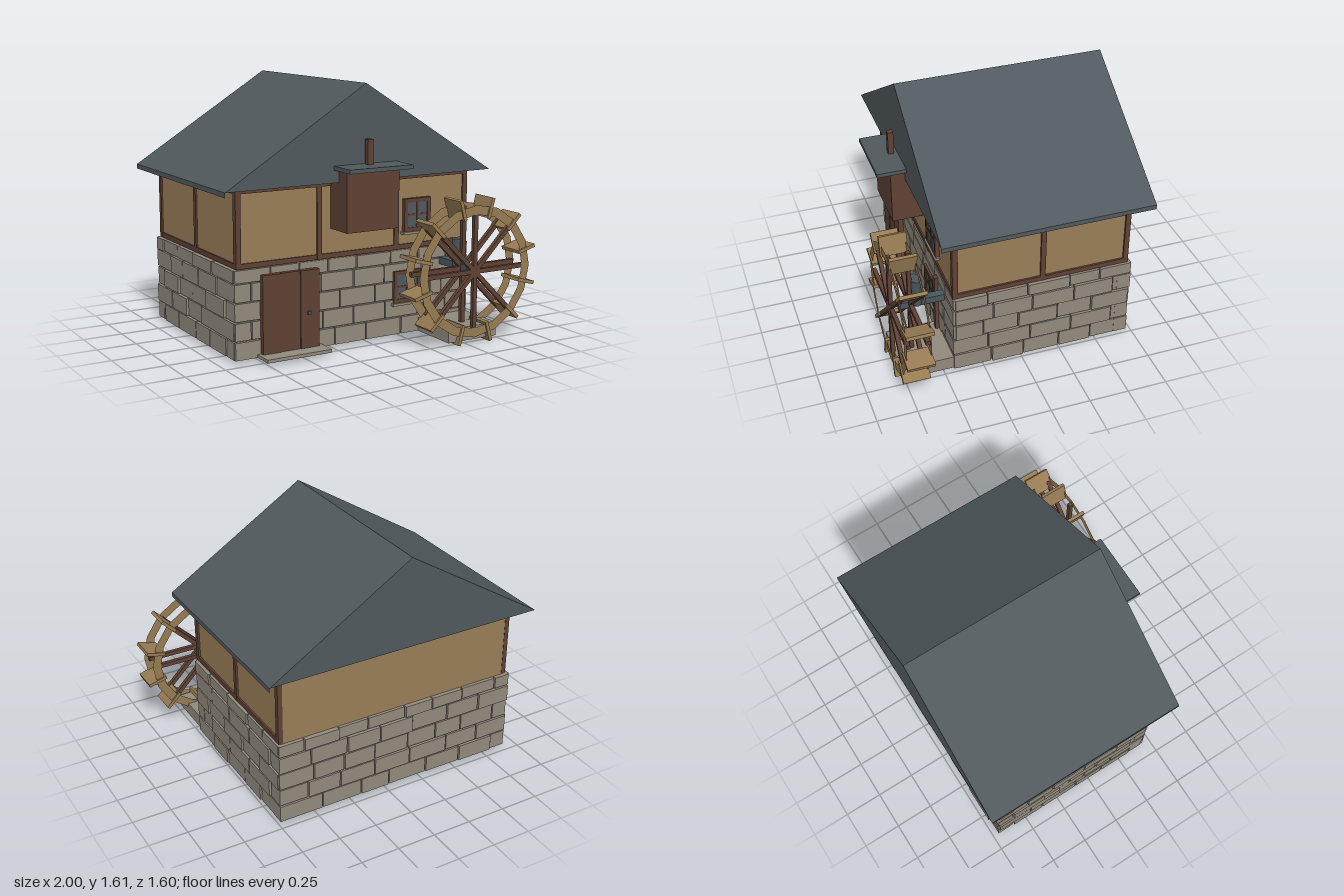
import * as THREE from 'three';

const mat = (name, color) => {
  const m = new THREE.MeshStandardMaterial({ color });
  m.name = name;
  return m;
};

export function createModel() {
  const slate = mat('slate', 0x50595d);
  const plaster = mat('plaster', 0x997e57);
  const timber = mat('darkTimber', 0x5f4134);
  const stone = mat('stone', 0x918a7d);
  const paleWood = mat('paleWood', 0x977b53);
  paleWood.side = THREE.DoubleSide;
  const iron = mat('iron', 0x4a585f);

  const model = new THREE.Group();
  model.name = 'watermill';
  const group = (name) => {
    const g = new THREE.Group();
    g.name = name;
    model.add(g);
    return g;
  };
  const add = (parent, name, geometry, material) => {
    const mesh = new THREE.Mesh(geometry, material);
    mesh.name = name;
    parent.add(mesh);
    return mesh;
  };
  // Box given by its limits on each axis
  const box = (parent, name, material, x0, x1, y0, y1, z0, z1) => {
    const mesh = add(parent, name, new THREE.BoxGeometry(x1 - x0, y1 - y0, z1 - z0), material);
    mesh.position.set((x0 + x1) / 2, (y0 + y1) / 2, (z0 + z1) / 2);
    return mesh;
  };

  let seed = 7;
  const rand = () => (seed = (seed * 16807) % 2147483647) / 2147483647;

  // Stone ground floor: hollow, in five courses of uneven blocks
  const base = group('stoneWalls');
  const X0 = -0.91, X1 = 0.745, Z0 = -0.715, Z1 = 0.44, T = 0.09, gap = 0.004;
  const courses = [0.02, 0.13, 0.245, 0.36, 0.475, 0.555];
  const course = (from, to, offset, place) => {
    let a = from;
    let width = offset ? 0.11 : 0.2 + rand() * 0.05;
    while (a < to - 0.001) {
      let b = a + width;
      if (to - b < 0.09) b = to;
      place(a + gap, b - gap, (rand() - 0.5) * 0.014);
      a = b;
      width = 0.19 + rand() * 0.09;
    }
  };
  for (let i = 0; i < 5; i++) {
    const y0 = courses[i] + (i ? gap : 0), y1 = courses[i + 1] - (i < 4 ? gap : 0);
    const odd = i % 2 === 1;
    course(X0, X1, odd, (a, b, j) => box(base, 'frontBlock', stone, a, b, y0, y1, Z1 - T, Z1 + j * 0.5));
    course(X0, X1, !odd, (a, b, j) => box(base, 'backBlock', stone, a, b, y0, y1, Z0 + j, Z0 + T));
    course(Z0 + 0.01, Z1 - 0.01, !odd, (a, b, j) => box(base, 'rightBlock', stone, X0 + j, X0 + T, y0, y1, a, b));
    course(Z0 + 0.01, Z1 - 0.01, odd, (a, b, j) => box(base, 'leftBlock', stone, X1 - T, X1 + j, y0, y1, a, b));
  }
  // Mortar core behind the joints, and the ceiling
  const m0 = 0.02, m1 = 0.05;
  box(base, 'frontMortar', stone, X0 + m0, X1 - m0, 0.03, 0.55, Z1 - m1, Z1 - m0);
  box(base, 'backMortar', stone, X0 + m0, X1 - m0, 0.03, 0.55, Z0 + m0, Z0 + m1);
  box(base, 'rightMortar', stone, X0 + m0, X0 + m1, 0.03, 0.55, Z0 + m0, Z1 - m0);
  box(base, 'leftMortar', stone, X1 - m1, X1 - m0, 0.03, 0.55, Z0 + m0, Z1 - m0);
  box(base, 'ceiling', stone, X0 + m0, X1 - m0, 0.53, 0.553, Z0 + m0, Z1 - m0);

  // Plastered upper floor with timber framing on the front and sides
  const upper = group('upperFloor');
  box(upper, 'plasterWall', plaster, -0.885, 0.72, 0.553, 1.03, -0.69, 0.43);
  for (const x of [-0.895, -0.36, 0.185, 0.7])
    box(upper, 'frontPost', timber, x, x + 0.033, 0.56, 1.03, 0.405, 0.44);
  for (const y of [0.56, 0.998])
    box(upper, 'frontBeam', timber, -0.895, 0.733, y, y + 0.031, 0.41, 0.438);
  for (const [x0, x1] of [[-0.895, -0.865], [0.703, 0.733]]) {
    for (const z of [-0.692, -0.148, 0.407])
      box(upper, 'sidePost', timber, x0, x1, 0.56, 1.03, z, z + 0.032);
    for (const y of [0.56, 0.998])
      box(upper, 'sideBeam', timber, x0 + 0.001, x1 - 0.001, y, y + 0.031, -0.69, 0.438);
  }

  // Gable roof: swept profile, with gable triangles above the eaves
  const profile = [[-1, 1], [-1, 1.03], [-0.08, 1.605], [0.835, 1.03], [0.835, 1]];
  const zf = 0.532, zb = -0.8;
  const pts = [];
  const tri = (...corners) => corners.forEach(([p, z]) => pts.push(p[0], p[1], z));
  profile.forEach((a, i) => {
    const b = profile[(i + 1) % 5];
    tri([a, zf], [b, zf], [b, zb]);
    tri([a, zf], [b, zb], [a, zb]);
  });
  const [, eaveR, ridge, eaveL] = profile;
  tri([eaveR, zf], [eaveL, zf], [ridge, zf]);
  tri([eaveR, zb], [ridge, zb], [eaveL, zb]);
  const roofGeometry = new THREE.BufferGeometry();
  roofGeometry.setAttribute('position', new THREE.Float32BufferAttribute(pts, 3));
  roofGeometry.computeVertexNormals();
  add(model, 'roof', roofGeometry, slate);

  // Projecting hoist box with its flat cover and stack
  const hoist = group('hoist');
  box(hoist, 'hoistBox', timber, -0.265, 0.097, 0.74, 1.105, 0.42, 0.623);
  box(hoist, 'hoistCover', slate, -0.3, 0.135, 1.105, 1.13, 0.42, 0.715);
  box(hoist, 'hoistStack', timber, -0.101, -0.063, 1.13, 1.28, 0.553, 0.589);

  // Plank door, handle and step
  const door = group('door');
  for (let i = 0; i < 3; i++) {
    const x = -0.742 + i * 0.126;
    box(door, 'doorPlank', timber, x, x + 0.124, 0.04, 0.515, 0.42, i === 1 ? 0.468 : 0.473);
  }
  box(door, 'doorHandle', iron, -0.447, -0.425, 0.245, 0.265, 0.465, 0.485);
  box(door, 'doorStep', stone, -0.765, -0.335, 0.02, 0.04, 0.42, 0.572);

  // Windows
  const makeWindow = (name, x0, x1, y0, y1) => {
    const w = group(name), f = 0.025, cx = (x0 + x1) / 2, cy = (y0 + y1) / 2;
    box(w, 'glass', slate, x0 + f, x1 - f, y0 + f, y1 - f, 0.42, 0.449);
    for (const x of [x0, x1 - f]) box(w, 'windowJamb', timber, x, x + f, y0, y1, 0.42, 0.456);
    for (const y of [y0, y1 - f]) box(w, 'windowRail', timber, x0 + f, x1 - f, y, y + f, 0.42, 0.456);
    box(w, 'verticalBar', timber, cx - 0.006, cx + 0.006, y0 + f, y1 - f, 0.445, 0.454);
    box(w, 'crossBar', timber, x0 + f, x1 - f, cy - 0.006, cy + 0.006, 0.445, 0.453);
    box(w, 'sill', stone, x0 - 0.012, x1 + 0.012, y0 - 0.015, y0 + 0.001, 0.42, 0.466);
  };
  makeWindow('upperWindow', 0.25, 0.445, 0.668, 0.875);
  makeWindow('lowerWindow', 0.178, 0.378, 0.222, 0.425);

  // Wheel footing, wall post, axle and bearing
  const mount = group('wheelMount');
  box(mount, 'footing', stone, 0.37, 0.73, 0.02, 0.105, 0.42, 0.77);
  box(mount, 'wallPost', timber, 0.405, 0.443, 0.1, 0.505, 0.42, 0.466);
  box(mount, 'axle', iron, 0.525, 0.575, 0.435, 0.48, 0.42, 0.732);
  const bearing = add(mount, 'bearing', new THREE.CylinderGeometry(0.05, 0.05, 0.18, 6).rotateY(Math.PI / 6), iron);
  bearing.scale.z = 0.72;
  bearing.position.set(0.55, 0.54, 0.615);

  // Water wheel: flat rims, crossed spokes and radial paddles
  const wheel = group('waterWheel');
  wheel.position.set(0.55, 0.45, 0.715);
  for (const side of [-1, 1]) {
    const rim = add(wheel, 'rim', new THREE.RingGeometry(0.355, 0.413, 16), paleWood);
    rim.position.z = side * 0.075;
    for (let i = 0; i < 4; i++) {
      const spoke = add(wheel, 'spoke', new THREE.BoxGeometry(0.77, 0.028, 0.026), timber);
      spoke.position.z = side * 0.06;
      spoke.rotation.z = i * Math.PI / 4;
    }
  }
  for (let i = 0; i < 12; i++) {
    const a = (i + 0.5) * Math.PI / 6;
    const paddle = add(wheel, 'paddle', new THREE.BoxGeometry(0.128, 0.022, 0.17), paleWood);
    paddle.position.set(Math.cos(a) * 0.4, Math.sin(a) * 0.4, 0);
    paddle.rotation.z = a;
  }

  return model;
}
